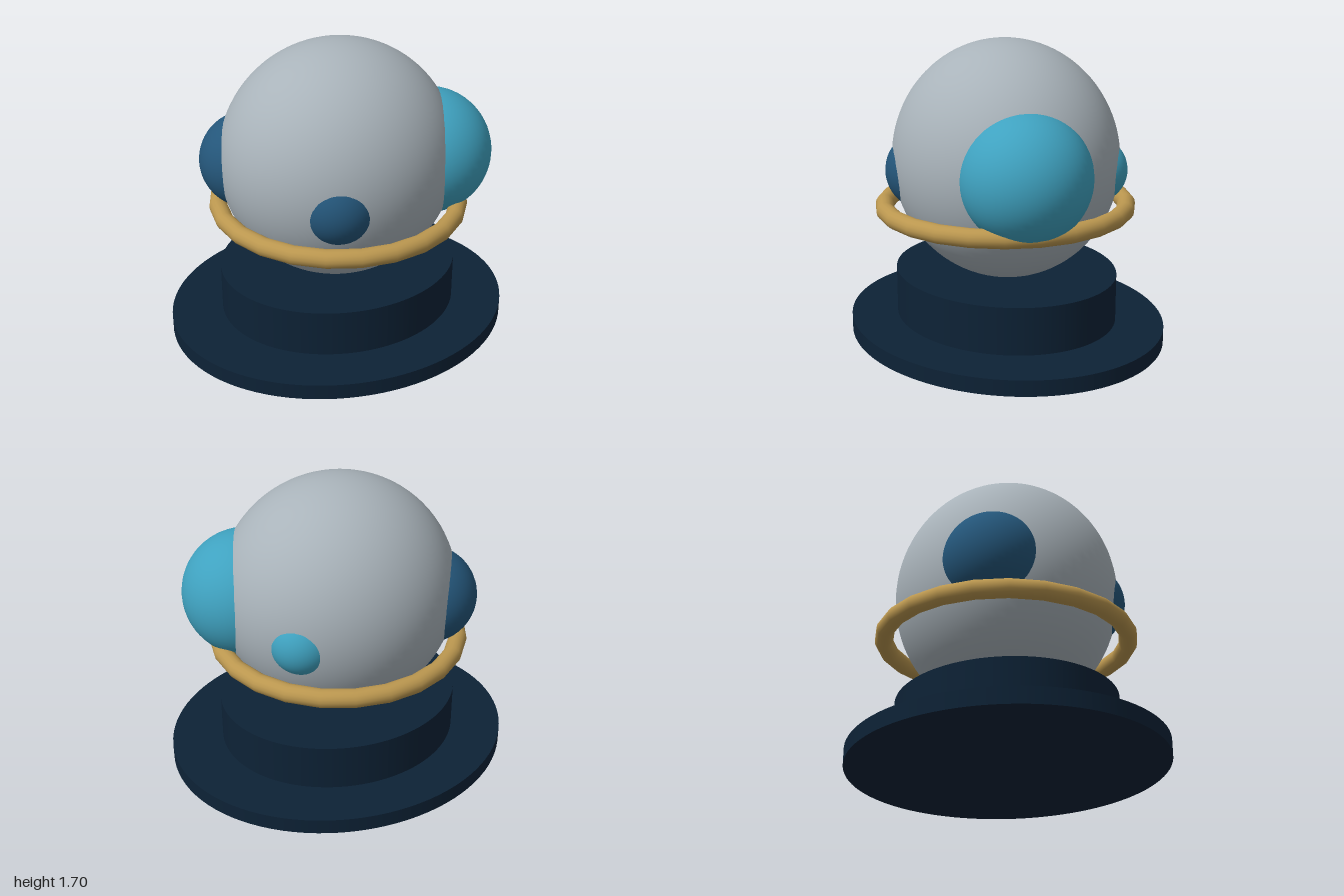
import * as THREE from 'three';

const mat = (name, color) => {
  const m = new THREE.MeshStandardMaterial({ color });
  m.name = name;
  return m;
};

export function createModel() {
  const group = new THREE.Group();
  const grey = mat('stone grey', 0xa9b3ba);
  const teal = mat('teal', 0x3fa2c0);
  const blue = mat('deep blue', 0x24567a);
  const gold = mat('gold', 0xbb974f);
  const navy = mat('dark navy', 0x0d2236);

  const add = (name, geometry, material, x, y, z) => {
    const mesh = new THREE.Mesh(geometry, material);
    mesh.name = name;
    mesh.position.set(x, y, z);
    group.add(mesh);
    return mesh;
  };

  // Oval stand: a wide foot plate and a plinth just above it
  const disc = (name, rx, rz, y0, y1) =>
    add(name, new THREE.CylinderGeometry(1, 1, y1 - y0, 96), navy, 0, (y0 + y1) / 2, 0).scale.set(rx, 1, rz);
  disc('footPlate', 1, 0.875, 0, 0.09);
  disc('plinth', 0.7, 0.615, 0.1, 0.37);

  // Main globe, slightly flattened front to back
  add('globe', new THREE.SphereGeometry(0.68, 64, 48), grey, 0, 1.02, 0).scale.z = 0.934;

  // Spheres sunk into the globe
  const lobes = [
    ['largeLobe', teal, 0.36, 0.49, 1.03, 0.16],
    ['sideLobe', blue, 0.275, -0.465, 1.0, -0.21],
    ['frontLobe', blue, 0.23, -0.19, 0.96, 0.41],
    ['backLobe', teal, 0.187, 0.35, 0.98, -0.37],
  ];
  for (const [name, material, r, x, y, z] of lobes) {
    add(name, new THREE.SphereGeometry(r, 48, 32), material, x, y, z);
  }

  // Level ring around the globe
  const ring = new THREE.TorusGeometry(0.695, 0.052, 16, 24).rotateX(Math.PI / 2);
  add('ring', ring, gold, 0, 0.753, 0).scale.x = 0.99;

  return group;
}
